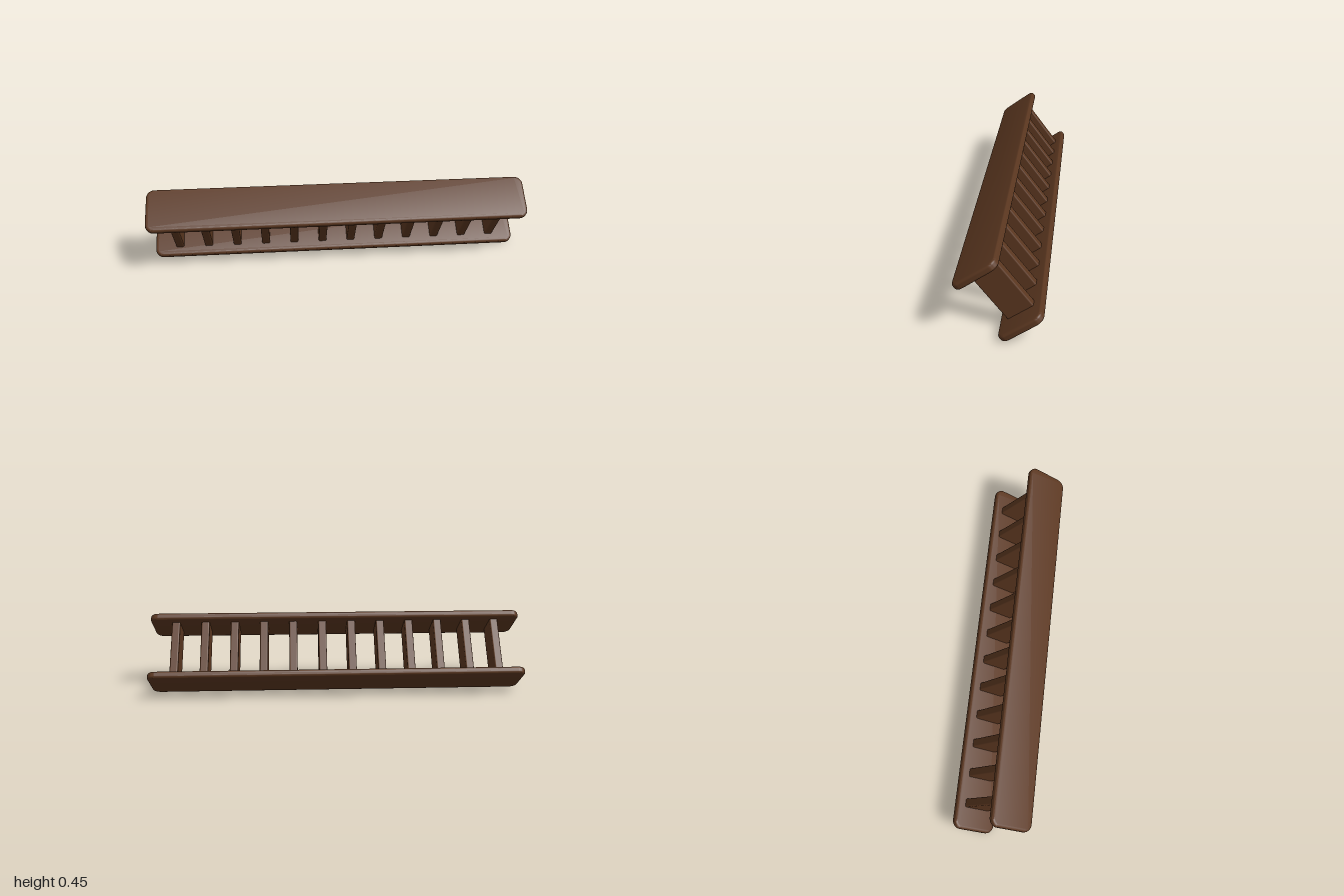
import * as THREE from 'three';
import { RoundedBoxGeometry } from 'three/addons/geometries/RoundedBoxGeometry.js';
import { toCreasedNormals } from 'three/addons/utils/BufferGeometryUtils.js';

const LENGTH = 2.12, WIDTH = 0.253, THICK = 0.038, BEVEL = 0.012;
const GAP = 0.351;              // distance between the board centres
const SLATS = 12, SPACING = 0.167;

// Flat board with rounded corners and softened edges, lying in local XZ
function boardGeometry() {
  const x = LENGTH / 2 - BEVEL, y = WIDTH / 2 - BEVEL, r = 0.034;
  const s = new THREE.Shape();
  s.moveTo(-x + r, -y);
  s.lineTo(x - r, -y);
  s.absarc(x - r, -y + r, r, -Math.PI / 2, 0);
  s.lineTo(x, y - r);
  s.absarc(x - r, y - r, r, 0, Math.PI / 2);
  s.lineTo(-x + r, y);
  s.absarc(-x + r, y - r, r, Math.PI / 2, Math.PI);
  s.lineTo(-x, -y + r);
  s.absarc(-x + r, -y + r, r, Math.PI, Math.PI * 1.5);
  const depth = THICK - 2 * BEVEL;
  const g = new THREE.ExtrudeGeometry(s, {
    depth, bevelEnabled: true, bevelSize: BEVEL, bevelThickness: BEVEL,
    bevelSegments: 3, curveSegments: 5,
  });
  g.translate(0, 0, -depth / 2);
  g.rotateX(-Math.PI / 2);
  return toCreasedNormals(g, 0.6);
}

export function createModel() {
  const model = new THREE.Group();
  model.name = 'slattedRail';
  const wood = new THREE.MeshStandardMaterial({ color: 0x5b3720 });

  // The whole rail is turned in plan and tipped forward about its long axis
  const rail = new THREE.Group();
  rail.name = 'rail';
  rail.rotation.set(THREE.MathUtils.degToRad(36.4), THREE.MathUtils.degToRad(32.5), 0, 'YXZ');
  rail.position.y = 0.2285;
  model.add(rail);

  // Upper and lower boards
  const board = boardGeometry();
  for (const side of [1, -1]) {
    const mesh = new THREE.Mesh(board, wood);
    mesh.name = side > 0 ? 'upperBoard' : 'lowerBoard';
    mesh.position.y = side * GAP / 2;
    rail.add(mesh);
  }

  // Evenly spaced slats joining the boards
  const slat = new RoundedBoxGeometry(0.046, GAP - THICK + 0.024, 0.155, 2, 0.008);
  for (let i = 0; i < SLATS; i++) {
    const mesh = new THREE.Mesh(slat, wood);
    mesh.name = 'slat' + (i + 1);
    mesh.position.x = (i - (SLATS - 1) / 2) * SPACING;
    rail.add(mesh);
  }
  return model;
}
